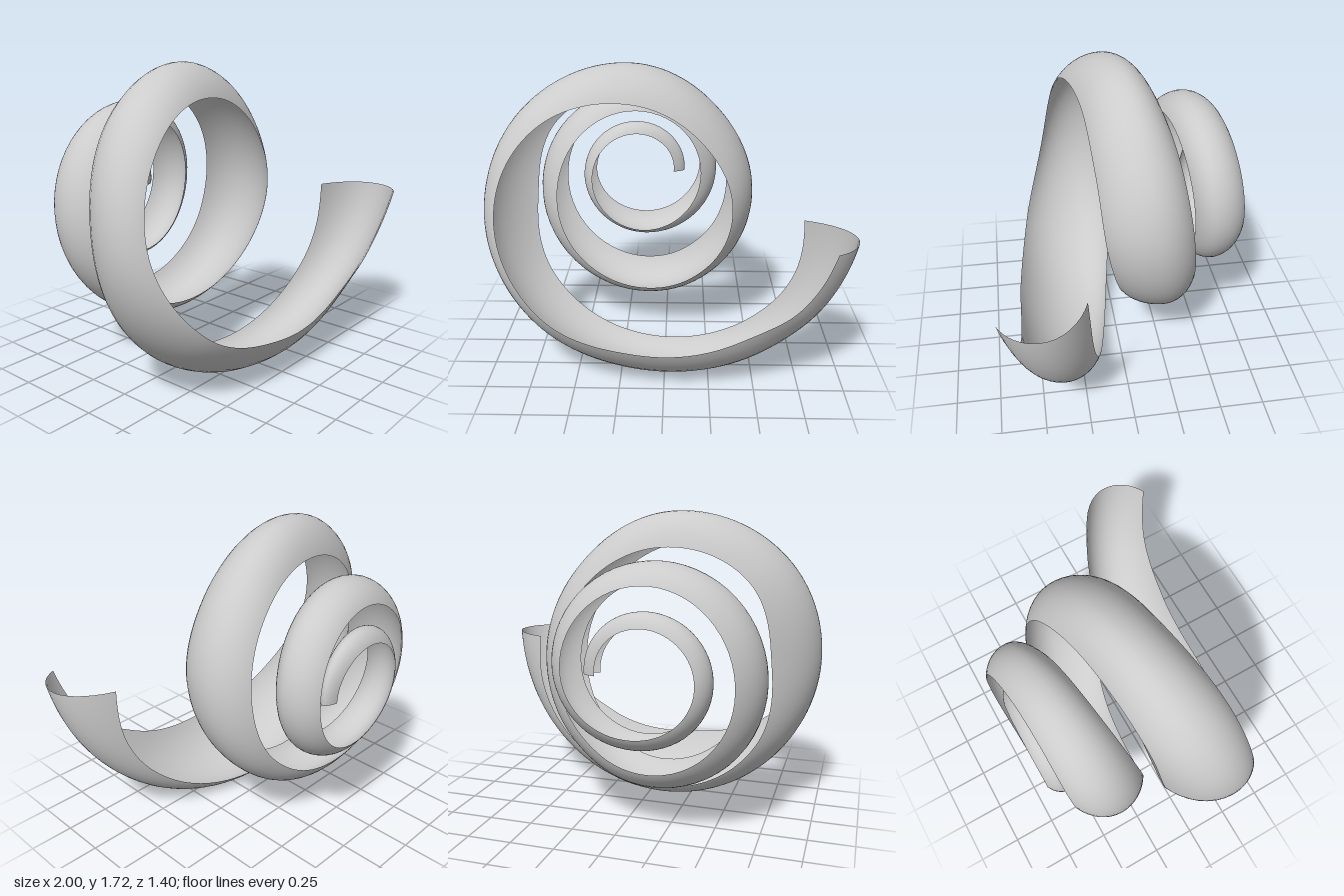
import * as THREE from 'three';
import { ParametricGeometry } from 'three/addons/geometries/ParametricGeometry.js';

// Spiral axis runs along z through this point
const CX = -0.18, CY = 0.92;

// Turn count; radius of front edge, crest, back edge; then their z
const SECTIONS = [
  [0.00, 1.04, 1.18, 0.94, 0.70, 0.50, 0.25],
  [0.06, 0.95, 1.12, 0.97, 0.635, 0.42, 0.22],
  [0.125, 0.80, 1.045, 0.94, 0.60, 0.33, 0.16],
  [0.25, 0.645, 0.91, 0.83, 0.585, 0.20, 0.04],
  [0.375, 0.68, 0.84, 0.70, 0.51, 0.18, -0.06],
  [0.50, 0.73, 0.82, 0.58, 0.36, 0.18, -0.13],
  [0.625, 0.71, 0.825, 0.63, 0.27, 0.07, -0.18],
  [0.75, 0.615, 0.795, 0.61, 0.18, -0.05, -0.24],
  [0.875, 0.55, 0.71, 0.57, 0.14, -0.11, -0.315],
  [1.00, 0.56, 0.69, 0.55, 0.10, -0.16, -0.38],
  [1.125, 0.59, 0.69, 0.56, 0.00, -0.24, -0.43],
  [1.25, 0.60, 0.69, 0.56, -0.11, -0.30, -0.49],
  [1.50, 0.48, 0.60, 0.47, -0.20, -0.40, -0.60],
  [1.75, 0.46, 0.56, 0.45, -0.33, -0.47, -0.635],
  [2.00, 0.39, 0.49, 0.39, -0.42, -0.54, -0.70],
  [2.25, 0.35, 0.40, 0.31, -0.43, -0.55, -0.68],
  [2.50, 0.30, 0.36, 0.29, -0.48, -0.58, -0.68],
  [2.75, 0.26, 0.325, 0.25, -0.54, -0.61, -0.685],
  [3.00, 0.22, 0.29, 0.22, -0.58, -0.63, -0.67],
];

// Smooth curve through three columns of the section table
function columnCurve(a, b, c) {
  const points = SECTIONS.map(s => new THREE.Vector3(s[a], s[b], s[c]));
  return new THREE.CatmullRomCurve3(points, false, 'catmullrom', 0.5);
}

function createRibbonGeometry() {
  const turns = columnCurve(0, 0, 0);
  const radii = columnCurve(1, 2, 3);
  const depths = columnCurve(4, 5, 6);
  const r = new THREE.Vector3(), z = new THREE.Vector3(), turn = new THREE.Vector3();
  const maxPhi = Math.PI / 3;

  // u follows the spiral, v crosses the ribbon from front edge to back edge
  return new ParametricGeometry((u, v, target) => {
    const t = THREE.MathUtils.clamp(u, 0, 1);
    turns.getPoint(t, turn);
    radii.getPoint(t, r);
    depths.getPoint(t, z);
    const phi = (2 * v - 1) * maxPhi;
    const edgeR = phi < 0 ? r.x : r.z;
    const edgeZ = phi < 0 ? z.x : z.z;
    const drop = (1 - Math.cos(phi)) / (1 - Math.cos(maxPhi));
    const reach = Math.abs(Math.sin(phi)) / Math.sin(maxPhi);
    const radius = r.y + (edgeR - r.y) * drop;
    const angle = -turn.x * Math.PI * 2;
    target.set(
      CX + radius * Math.cos(angle),
      CY + radius * Math.sin(angle),
      z.y + (edgeZ - z.y) * reach);
  }, 270, 16);
}

export function createModel() {
  const group = new THREE.Group();
  group.name = 'spiralPeel';
  // Thin curled strip, visible from both sides
  const ribbon = new THREE.Mesh(
    createRibbonGeometry(),
    new THREE.MeshStandardMaterial({ color: 0xcccccc, side: THREE.DoubleSide }));
  ribbon.name = 'spiralRibbon';
  group.add(ribbon);
  return group;
}
